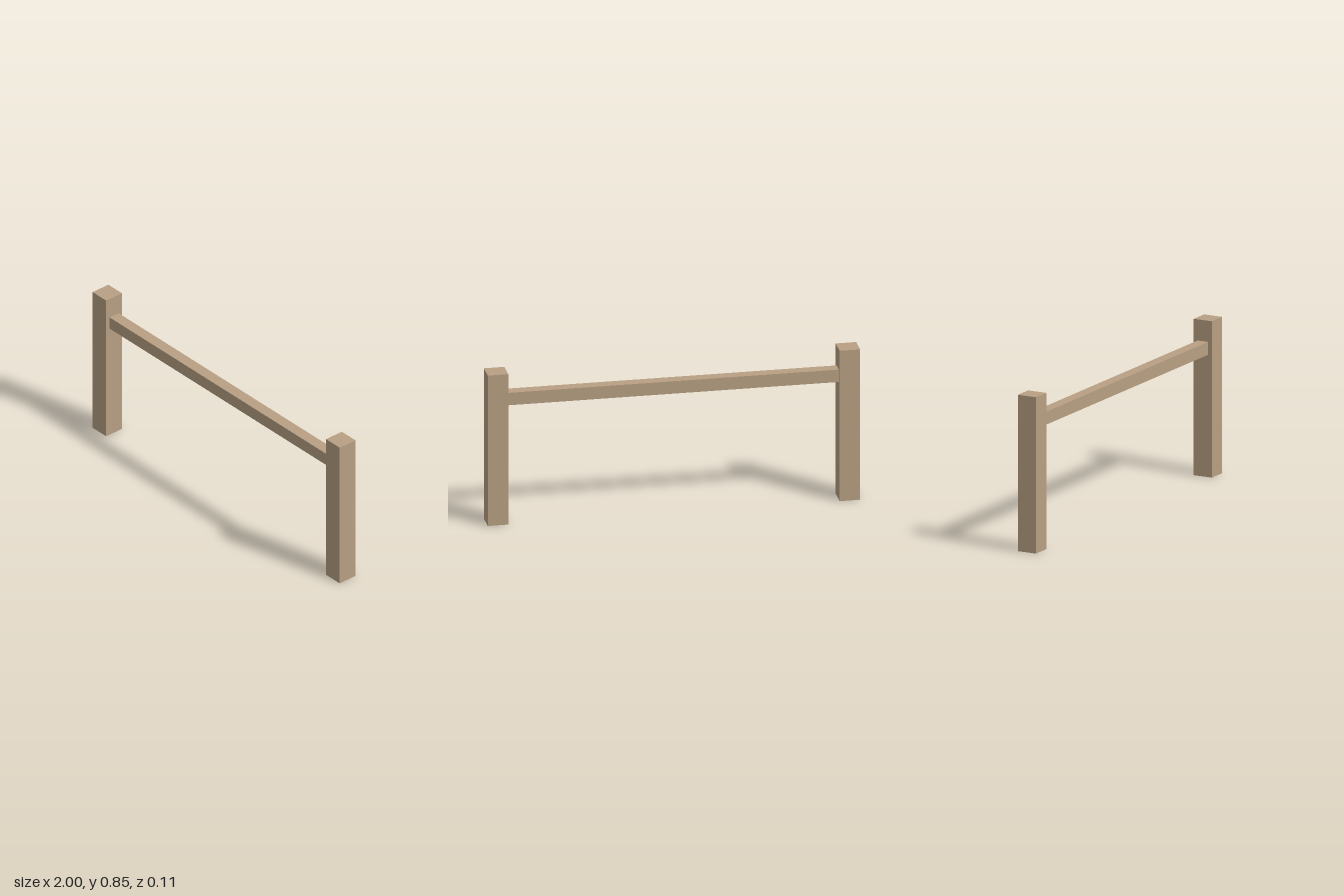
import * as THREE from 'three';

export function createModel() {
  const model = new THREE.Group();
  model.name = 'fence';

  const wood = new THREE.MeshStandardMaterial({ color: 0xb8a083 });
  wood.name = 'light brown wood';

  const POST = 0.11, HEIGHT = 0.85;

  const addBeam = (name, size, position) => {
    const mesh = new THREE.Mesh(new THREE.BoxGeometry(...size), wood);
    mesh.name = name;
    mesh.position.set(...position);
    model.add(mesh);
  };

  // Square posts at both ends
  for (const [name, side] of [['leftPost', 1], ['rightPost', -1]]) {
    addBeam(name, [POST, HEIGHT, POST], [side * (1 - POST / 2), HEIGHT / 2, 0]);
  }

  // Rail spanning between the inner faces of the posts
  addBeam('rail', [2 - 2 * POST, 0.07, 0.063], [0, 0.7, 0]);

  return model;
}
